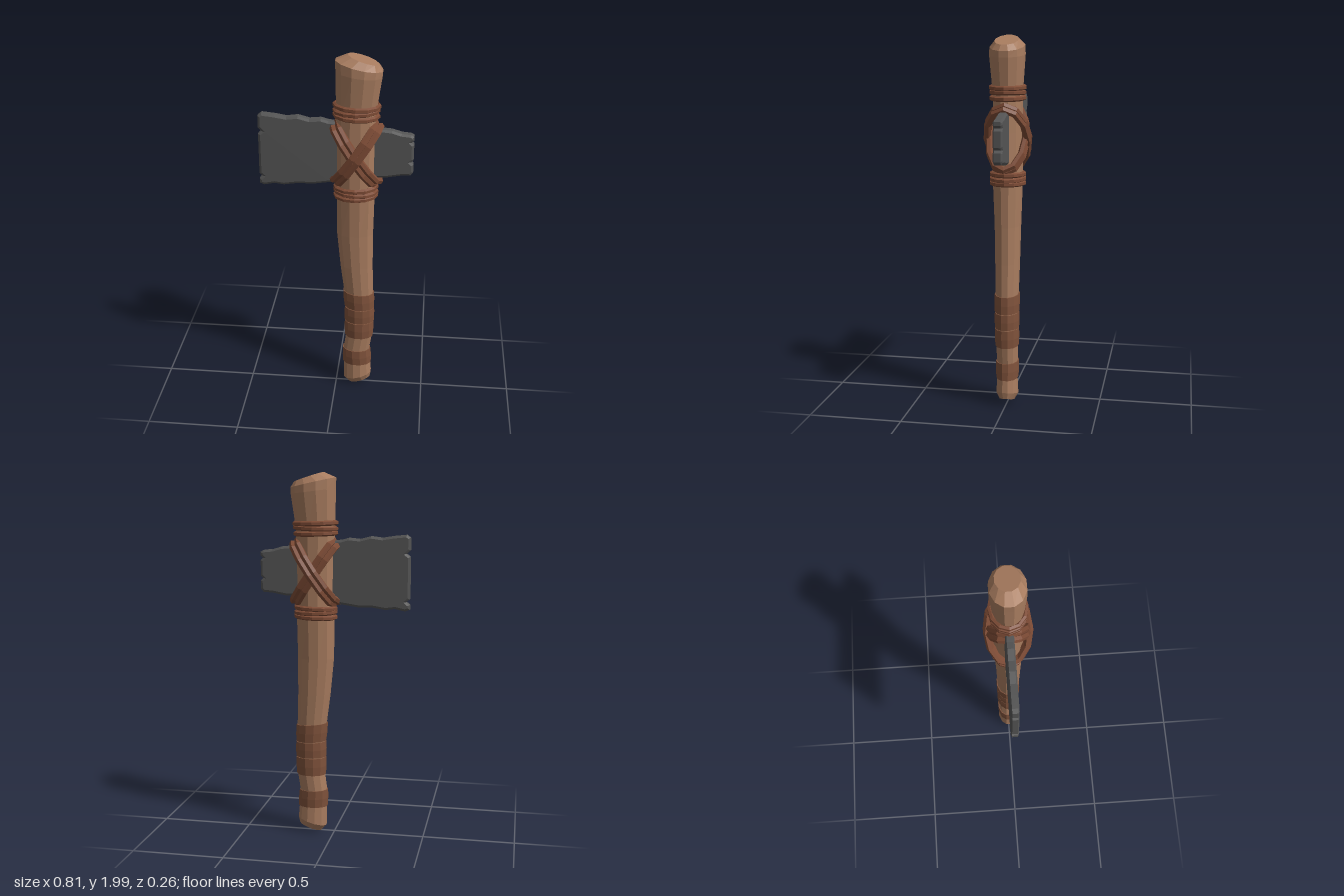
import * as THREE from 'three';

const SIDES = 12;
const mat = (color) => new THREE.MeshStandardMaterial({ color, flatShading: true });

// Handle rings: [y, centre x, radius x, radius z, slope across x]
const RINGS = [
  [0.03, 0.137, 0.06, 0.04, 0.35],
  [0.065, 0.125, 0.078, 0.06, 0.28],
  [0.155, 0.122, 0.075, 0.055, 0],
  [0.25, 0.118, 0.073, 0.057, -0.03],
  [0.34, 0.131, 0.074, 0.058, 0],
  [0.44, 0.132, 0.077, 0.06, 0],
  [0.53, 0.132, 0.077, 0.061, -0.03],
  [0.63, 0.126, 0.08, 0.062, -0.08],
  [0.8, 0.113, 0.088, 0.066, 0],
  [1.0, 0.103, 0.097, 0.07, 0],
  [1.22, 0.104, 0.1, 0.078, 0],
  [1.5, 0.103, 0.1, 0.078, 0],
  [1.7, 0.103, 0.103, 0.078, 0],
  [1.9, 0.115, 0.118, 0.094, -0.12],
  [1.945, 0.115, 0.12, 0.092, -0.22],
  [1.975, 0.138, 0.078, 0.063, -0.32],
];

// Handle ring at any height
function ringAt(y) {
  const i = Math.max(1, RINGS.findIndex((r) => r[0] >= y));
  const a = RINGS[i - 1], b = RINGS[i];
  const t = (y - a[0]) / (b[0] - a[0]);
  return a.map((v, k) => THREE.MathUtils.lerp(v, b[k], t));
}

// Skin a stack of elliptical rings and close both ends
function loft(rings) {
  const pos = [], index = [];
  for (const [y, cx, rx, rz, slope] of rings) {
    for (let j = 0; j < SIDES; j++) {
      const a = ((j + 0.5) / SIDES) * Math.PI * 2;
      const dx = Math.cos(a) * rx / Math.cos(Math.PI / SIDES);
      pos.push(cx + dx, y + slope * dx, Math.sin(a) * rz);
    }
  }
  for (let i = 0; i < rings.length - 1; i++) {
    for (let j = 0; j < SIDES; j++) {
      const a = i * SIDES + j, b = i * SIDES + (j + 1) % SIDES;
      index.push(a, a + SIDES, b, b, a + SIDES, b + SIDES);
    }
  }
  const top = (rings.length - 1) * SIDES;
  for (let j = 1; j < SIDES - 1; j++) {
    index.push(0, j, j + 1, top, top + j + 1, top + j);
  }
  const g = new THREE.BufferGeometry();
  g.setAttribute('position', new THREE.Float32BufferAttribute(pos, 3));
  g.setIndex(index);
  g.computeVertexNormals();
  return g;
}

// Closed rope following a function of angle
function rope(pointAt, radius) {
  const curve = new THREE.Curve();
  curve.getPoint = (t, target = new THREE.Vector3()) => target.copy(pointAt(t * Math.PI * 2));
  curve.getPointAt = curve.getPoint;
  curve.getTangentAt = curve.getTangent;
  return new THREE.TubeGeometry(curve, SIDES, radius, 6, true);
}

function bladeGeometry() {
  const outline = [
    [-0.41, 1.28], [-0.385, 1.27], [-0.33, 1.282], [-0.28, 1.275], [-0.2, 1.288],
    [-0.13, 1.286], [-0.04, 1.3], [0.1, 1.32], [0.21, 1.34], [0.27, 1.342], [0.34, 1.355],
    [0.39, 1.358], [0.405, 1.375], [0.405, 1.42], [0.392, 1.433], [0.405, 1.446],
    [0.405, 1.53], [0.392, 1.543], [0.405, 1.556], [0.405, 1.575], [0.39, 1.585],
    [0.34, 1.59], [0.29, 1.605], [0.21, 1.612], [0.1, 1.63], [-0.04, 1.645],
    [-0.08, 1.656], [-0.14, 1.65], [-0.2, 1.666], [-0.26, 1.658], [-0.32, 1.668],
    [-0.39, 1.675], [-0.41, 1.66], [-0.41, 1.595], [-0.39, 1.575], [-0.41, 1.56],
    [-0.41, 1.335], [-0.39, 1.32], [-0.41, 1.305],
  ].map(([x, y]) => new THREE.Vector2(x, y));
  const g = new THREE.ExtrudeGeometry(new THREE.Shape(outline), {
    depth: 0.034, bevelEnabled: true, bevelSegments: 1,
    bevelSize: 0.012, bevelOffset: -0.012, bevelThickness: 0.008,
  });
  g.translate(0, 0, -0.017);
  // Thin the stone towards its cutting edge
  const p = g.attributes.position;
  for (let i = 0; i < p.count; i++) {
    p.setZ(i, p.getZ(i) * THREE.MathUtils.mapLinear(p.getX(i), -0.41, 0.41, 0.84, 1));
  }
  g.computeVertexNormals();
  return g;
}

export function createModel() {
  const model = new THREE.Group();
  const wood = mat(0xa87c5f), leather = mat(0x7f523b), cord = mat(0x7d4b35), stone = mat(0x555555);
  const add = (name, geometry, material) => {
    const mesh = new THREE.Mesh(geometry, material);
    mesh.name = name;
    model.add(mesh);
  };

  add('handle', loft(RINGS), wood);
  add('stoneBlade', bladeGeometry(), stone);

  // Leather grip bands hugging the handle
  for (const [low, high] of [[0.155, 0.25], [0.34, 0.438], [0.442, 0.528], [0.532, 0.63]]) {
    const rings = [low, (low + high) / 2, high].map((y, i) => {
      const [, cx, rx, rz, slope] = ringAt(y);
      const grow = i === 1 ? 0.007 : 0.005;
      return [y, cx, rx + grow, rz + grow, slope];
    });
    add('gripBand', loft(rings), leather);
  }

  // Level cord turns above and below the blade
  [1.732, 1.706, 1.678, 1.278, 1.254, 1.23].forEach((y, i) => {
    const [, cx, rx, rz] = ringAt(y);
    const tilt = (i % 2 ? 1 : -1) * 0.03;
    add('cordTurn', rope((a) => new THREE.Vector3(
      cx + Math.cos(a) * (rx + 0.008), y + Math.cos(a) * (rx * tilt), Math.sin(a) * (rz + 0.007),
    ), 0.014), cord);
  });

  // Crossed double lashings, passing over the blade on one side and under it on the other
  for (const dir of [1, -1]) {
    for (const shift of [-0.017, 0.017]) {
      const rz = dir > 0 ? 0.098 : 0.109;
      add('crossLashing', rope((a) => new THREE.Vector3(
        0.104 + Math.cos(a) * 0.112 + shift * 0.81,
        1.467 + dir * (Math.cos(a) * -0.165 + shift * 0.58),
        Math.sin(a) * rz,
      ), 0.019), cord);
    }
  }
  return model;
}
